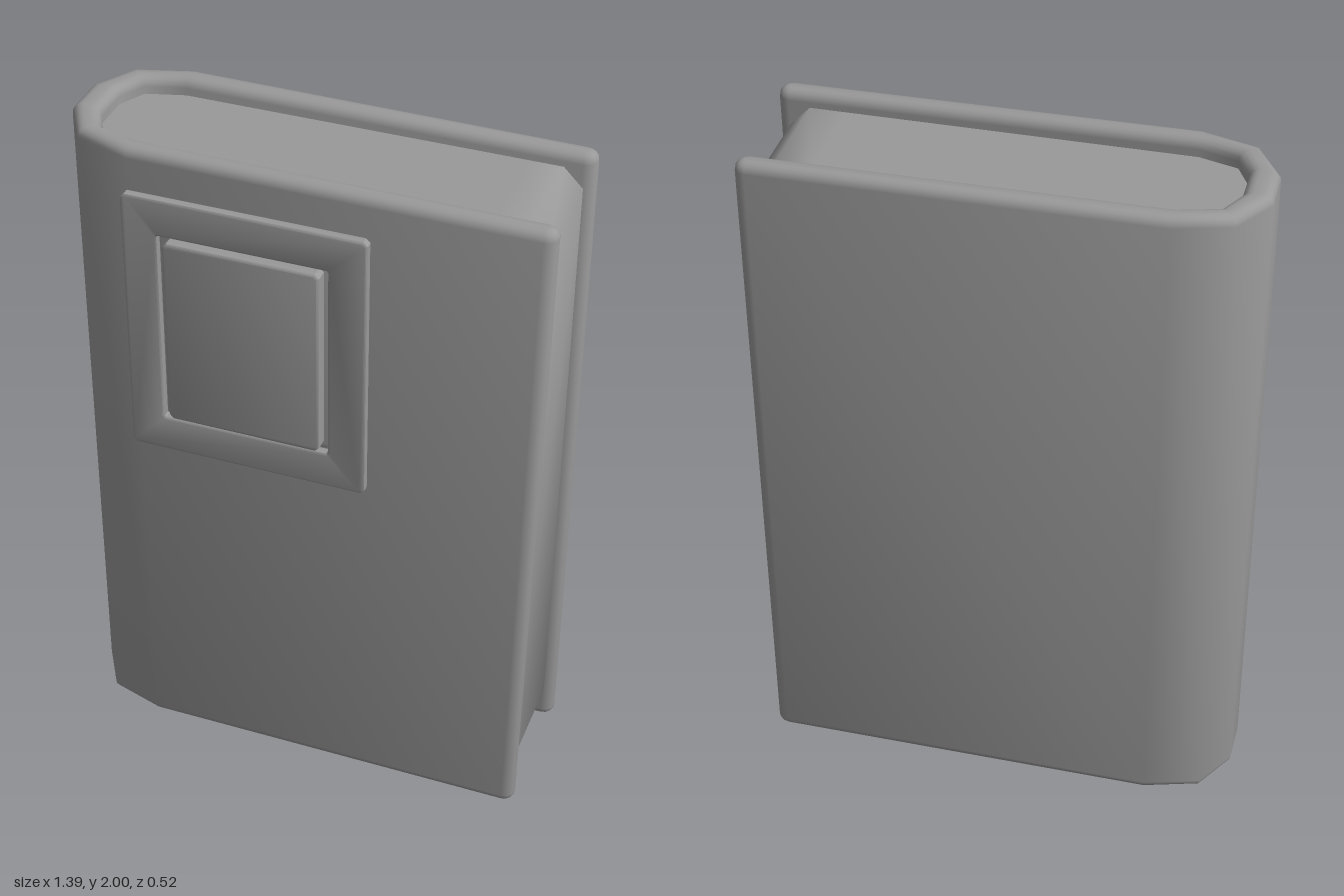
import * as THREE from 'three';
import { toCreasedNormals } from 'three/addons/utils/BufferGeometryUtils.js';

const grey = new THREE.MeshStandardMaterial({ color: 0x999999 });
const MID = -0.03; // z of the book's middle plane
const SPLIT = 0.5; // x where the page block meets its rounded fore edge
const BOTTOM = 0.055, TOP = 1.95; // heights of the page block

// Half outlines [x, distance from the middle plane], from the cover edge round to the spine
const outerHalf = [[-0.465, 0.232], [-0.625, 0.184], [-0.697, 0.062]];
const innerHalf = [[-0.465, 0.164], [-0.575, 0.132], [-0.615, 0.055]];
const mirrored = half => [...half, ...half.map(([x, d]) => [x, -d]).reverse()];
const vectors = points => points.map(([x, y]) => new THREE.Vector2(x, y));

function mesh(name, geometry, crease = 0.9) {
  const m = new THREE.Mesh(toCreasedNormals(geometry, crease), grey);
  m.name = name;
  return m;
}

// Extrudes a plan outline upward between two heights, rounding the rims
function upright(points, y0, y1, bevel) {
  const g = new THREE.ExtrudeGeometry(new THREE.Shape(vectors(points)), {
    depth: y1 - y0 - 2 * bevel, bevelEnabled: bevel > 0, bevelSize: bevel,
    bevelThickness: bevel, bevelOffset: -bevel, bevelSegments: 4,
  });
  return g.rotateX(-Math.PI / 2).translate(0, y0 + bevel, MID);
}

// Rounded free edge of one cover board
function tip(x, centre, radius) {
  const pts = [];
  for (let i = 0; i <= 6; i++) {
    const a = Math.PI * (i / 6 - 0.5);
    pts.push([x + radius * Math.cos(a), centre + radius * Math.sin(a)]);
  }
  return pts;
}

// Rectangle with slightly cut corners, used for both outlines and holes
function rect(Type, [x0, x1, y0, y1], c) {
  return new Type(vectors([
    [x0 + c, y0], [x1 - c, y0], [x1, y0 + c], [x1, y1 - c],
    [x1 - c, y1], [x0 + c, y1], [x0, y1 - c], [x0, y0 + c],
  ]));
}

// Flat plate on the front cover, with an optional opening
function plate(name, bounds, z0, z1, bevel, opening) {
  const shape = rect(THREE.Shape, bounds, 0.012);
  if (opening) shape.holes.push(rect(THREE.Path, opening, 0.004));
  const g = new THREE.ExtrudeGeometry(shape, {
    depth: z1 - z0 - 2 * bevel, bevelThickness: bevel, bevelSize: bevel,
    bevelOffset: -bevel, bevelSegments: 3,
  });
  return mesh(name, g.translate(0, 0, z0 + bevel), 0.7);
}

export function createModel() {
  const book = new THREE.Group();
  book.name = 'book';

  // Cover: two boards joined by a faceted, smoothly shaded spine
  const radius = 0.034, centre = 0.198;
  const outline = [
    ...tip(0.65, centre, radius),
    ...mirrored(outerHalf),
    ...tip(0.65, -centre, radius),
    ...mirrored(innerHalf).reverse(),
  ];
  const cover = upright(outline, 0, 2, 0.028);
  // The front board leans out a little toward the top of its free edge
  const p = cover.attributes.position;
  for (let i = 0; i < p.count; i++) {
    if (p.getX(i) < 0.5) continue;
    if (p.getZ(i) > 0) p.setX(i, p.getX(i) + 0.002 + 0.008 * (p.getY(i) - 1));
    if (p.getY(i) > 1) p.setY(i, p.getY(i) - 0.007);
  }
  book.add(mesh('cover', cover));

  // Page block, sunk below the rims of the cover
  const pages = new THREE.Group();
  pages.name = 'pages';
  const block = [[SPLIT, 0.164], ...mirrored(innerHalf), [SPLIT, -0.164]];
  pages.add(mesh('pageBlock', upright(block, BOTTOM, TOP, 0)));

  // Fore edge, softened at the top and bottom
  const edge = new THREE.Shape(vectors([
    [SPLIT, BOTTOM], [0.6, BOTTOM], [0.655, BOTTOM + 0.055],
    [0.655, TOP - 0.055], [0.6, TOP], [SPLIT, TOP],
  ]));
  const edgeGeo = new THREE.ExtrudeGeometry(edge, { depth: 0.328, bevelEnabled: false });
  pages.add(mesh('foreEdge', edgeGeo.translate(0, 0, MID - 0.164)));
  book.add(pages);

  // Framed panel on the front cover
  const panel = new THREE.Group();
  panel.name = 'framedPanel';
  const opening = [-0.37, 0.11, 1.19, 1.78];
  panel.add(
    plate('backingPlate', opening, 0.195, 0.218, 0.002),
    plate('frame', [-0.47, 0.217, 1.08, 1.89], 0.217, 0.245, 0.006, opening),
    plate('raisedPanel', [-0.35, 0.09, 1.2, 1.77], 0.21, 0.258, 0.007),
  );
  book.add(panel);
  return book;
}
